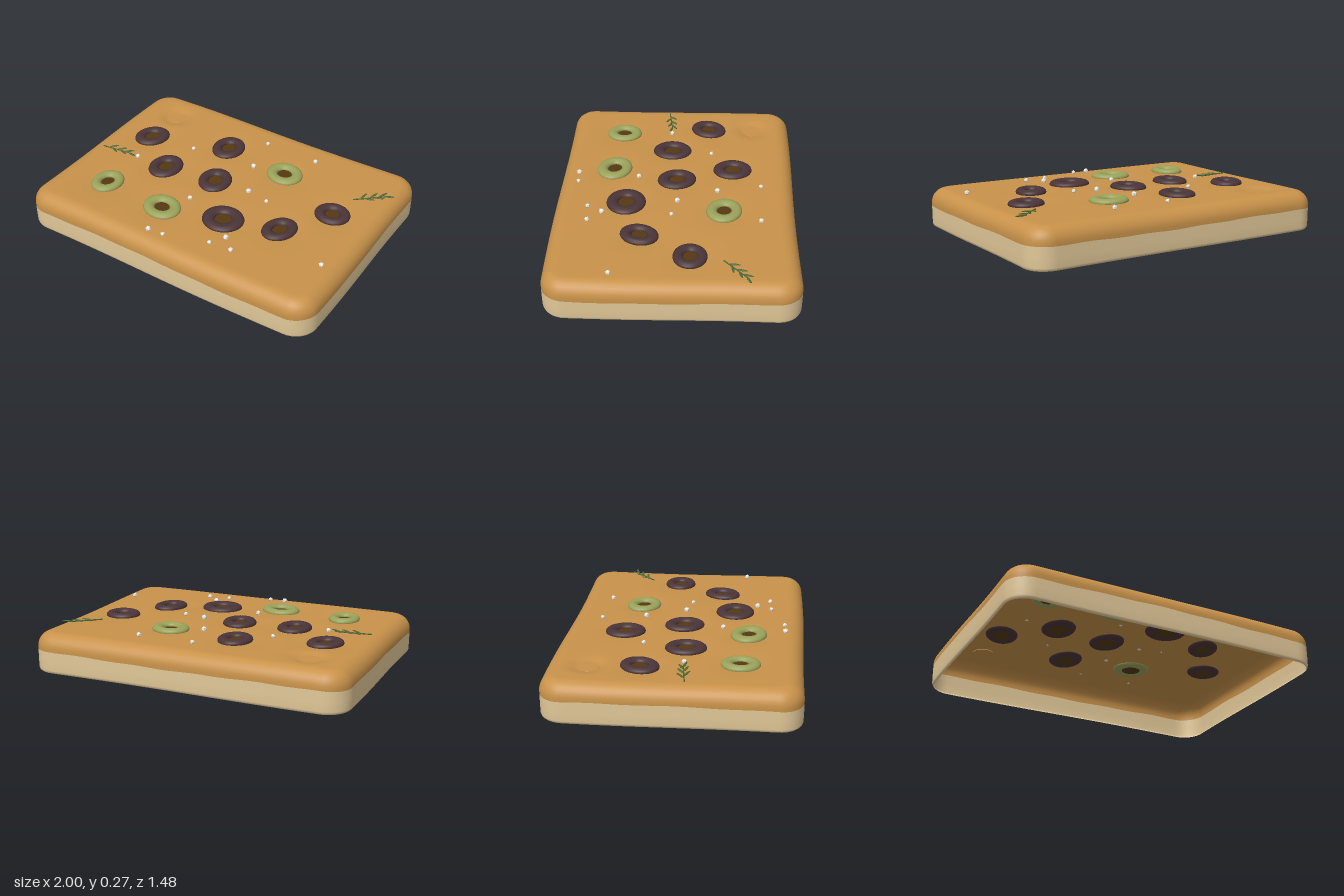
import * as THREE from 'three';

const mat = (name, color, side = THREE.FrontSide) => {
  const m = new THREE.MeshStandardMaterial({ color, side });
  m.name = name;
  return m;
};

// Olives: x, z, half width, half depth, turn
const DARK = [
  [-0.70, -0.195, 0.1, 0.118, -0.5], [-0.195, -0.35, 0.104, 0.122, 0.1], [-0.42, 0.04, 0.104, 0.124, 0],
  [-0.07, 0, 0.104, 0.122, 0.25], [0.185, 0.3, 0.13, 0.12, 0], [0.515, 0.2, 0.094, 0.117, -0.35],
  [0.705, -0.1, 0.11, 0.1, 0],
];
const GREEN = [[0.26, -0.295, 0.12, 0.107, -0.3], [-0.63, 0.37, 0.097, 0.114, 0], [-0.19, 0.4, 0.126, 0.108, -0.3]];
const BARE = [-0.71, -0.49];
const SALT = [
  [0, -0.525], [0.36, -0.515], [0.055, -0.255], [-0.38, -0.215], [-0.635, 0.05], [0.17, -0.01], [0.315, 0.02],
  [-0.095, 0.24], [0.295, 0.44], [0.24, 0.53], [0.38, 0.52], [-0.13, 0.62], [-0.03, 0.615], [0.875, 0.35],
];

// Height of the dimpled top
const waves = (x, z) => 0.24 + 0.003 * Math.sin(4 * x + 1) * Math.cos(3.5 * z) - 0.003 * x * x;
function topHeight(x, z) {
  let y = waves(x, z);
  for (const [ox, oz] of [...DARK, ...GREEN]) {
    y -= 0.01 * Math.exp(-((x - ox) ** 2 + (z - oz) ** 2) / 0.015);
  }
  const d = Math.hypot(x - BARE[0], z - BARE[1]);
  return y - 0.018 * Math.exp(-((d / 0.1) ** 4));
}

// Open-bottomed loaf: loops running from the middle of the top out and down the sides
function loafGeometry() {
  const A = 0.995, B = 0.733, R = 0.14, ROUND = 0.09;
  const outline = [];
  const corners = [[1, 1], [-1, 1], [-1, -1], [1, -1]];
  corners.forEach(([sx, sz], c) => {
    const cx = sx * (A - R), cz = sz * (B - R);
    for (let k = 0; k <= 10; k++) {
      const a = (c + k / 10) * Math.PI / 2;
      outline.push([cx, cz, Math.cos(a), Math.sin(a)]);
    }
    const [nx, nz] = corners[(c + 1) % 4], a = (c + 1) * Math.PI / 2;
    for (let k = 1; k < 36; k++) {
      const t = k / 36;
      outline.push([cx + (nx * (A - R) - cx) * t, cz + (nz * (B - R) - cz) * t, Math.cos(a), Math.sin(a)]);
    }
  });
  const pos = [], N = outline.length;
  const addLoop = (scale, inset, yOf) => outline.forEach(([cx, cz, nx, nz]) => {
    let x = (cx + nx * (R - inset)) * scale, z = (cz + nz * (R - inset)) * scale;
    const w = 0.006 * scale ** 4;
    z += w * Math.sin(3.4 * x + 3.6) * Math.abs(nz) * -1;
    x += w * 0.6 * Math.sin(5 * z) * Math.abs(nx);
    pos.push(x, yOf(x, z), z);
  });
  for (let i = 0; i <= 44; i++) addLoop(i / 44, ROUND, topHeight);
  for (let i = 1; i <= 8; i++) {
    const a = (i / 8) * Math.PI / 2;
    addLoop(1, ROUND * (1 - Math.sin(a)), (x, z) => topHeight(x, z) - ROUND * (1 - Math.cos(a)));
  }
  addLoop(1, 0, (x, z) => 0.132 + 0.005 * Math.sin(4 * x + 3 * z) + 0.002 * Math.sin(17 * x - 13 * z));
  const split = 44 + 8 + 1;
  addLoop(1, 0, () => 0.07);
  addLoop(1, 0.001, () => 0.018);
  addLoop(1, 0.005, () => 0.006);
  addLoop(1, 0.012, () => 0);
  const idx = [], loops = pos.length / 3 / N;
  for (let i = 0; i < loops - 1; i++) {
    for (let j = 0; j < N; j++) {
      const a = i * N + j, b = i * N + (j + 1) % N;
      idx.push(a, b, a + N, b, b + N, a + N);
    }
  }
  const g = new THREE.BufferGeometry();
  g.setAttribute('position', new THREE.Float32BufferAttribute(pos, 3));
  g.setIndex(idx);
  g.addGroup(0, split * N * 6, 0);
  g.addGroup(split * N * 6, idx.length - split * N * 6, 1);
  g.computeVertexNormals();
  return g;
}

export function createModel() {
  const root = new THREE.Group();
  root.name = 'flatbread';
  const crust = mat('golden crust', 0xc8924a, THREE.DoubleSide);
  const crumb = mat('pale dough', 0xe2c898, THREE.DoubleSide);
  const dark = mat('dark olive', 0x4a3437);
  const green = mat('green olive', 0x9aa25a);
  const hollow = mat('olive hollow', 0x543a12);
  const salt = mat('salt', 0xeeeeea);
  const herb = mat('rosemary', 0x4c6a38, THREE.DoubleSide);

  const add = (parent, name, geo, material, x = 0, y = 0, z = 0) => {
    const m = new THREE.Mesh(geo, material);
    m.name = name;
    m.position.set(x, y, z);
    parent.add(m);
    return m;
  };

  add(root, 'loaf', loafGeometry(), [crust, crumb]);
  add(root, 'bareDimple', new THREE.CylinderGeometry(0.066, 0.07, 0.006, 32), crust,
    BARE[0], topHeight(...BARE) + 0.001, BARE[1]);

  // Olive slices: flattened rings with a dark middle
  const ring = new THREE.TorusGeometry(0.7, 0.3, 14, 40).rotateX(Math.PI / 2);
  const core = new THREE.CylinderGeometry(0.7, 0.7, 0.016, 32);
  const addOlive = (name, material) => ([x, z, rx, rz, turn]) => {
    const g = new THREE.Group();
    g.name = name;
    g.position.set(x, waves(x, z), z);
    g.rotation.y = -turn * -1;
    add(g, 'oliveRing', ring, material).scale.set(rx, 0.075, rz);
    add(g, 'oliveHollow', core, hollow, 0, -0.008, 0).scale.set(rx, 1, rz);
    root.add(g);
  };
  DARK.forEach(addOlive('darkOlive', dark));
  GREEN.forEach(addOlive('greenOlive', green));

  // Salt grains
  const grain = new THREE.IcosahedronGeometry(1, 0).toNonIndexed();
  grain.computeVertexNormals();
  SALT.forEach(([x, z], i) => {
    const m = add(root, 'saltGrain', grain, salt, x, topHeight(x, z) + 0.009, z);
    m.scale.setScalar(0.014 + 0.002 * (i % 3));
    m.rotation.set(i, i * 2.3, i * 0.7);
  });

  // Rosemary sprigs: a thin stem with narrow leaves on alternate sides
  const stem = new THREE.CylinderGeometry(0.003, 0.004, 0.21, 6).rotateZ(-Math.PI / 2);
  const leaf = new THREE.SphereGeometry(1, 10, 6).scale(0.034, 0.004, 0.0075).translate(0.032, 0, 0);
  const addSprig = (x, z, turn) => {
    const g = new THREE.Group();
    g.name = 'rosemarySprig';
    g.position.set(x, waves(x, z) + 0.007, z);
    g.rotation.y = turn;
    add(g, 'stem', stem, herb);
    [-0.06, -0.035, 0.0, 0.025, 0.055, 0.085].forEach((sx, i) => {
      const l = add(g, 'leaf', leaf, herb, sx, 0.002, 0);
      l.rotation.set(0, (i % 2 ? -1 : 1) * (0.65 - i * 0.06), 0.08);
    });
    root.add(g);
  };
  addSprig(-0.795, 0.062, 0.12);
  addSprig(0.825, -0.36, 0.72);
  return root;
}
